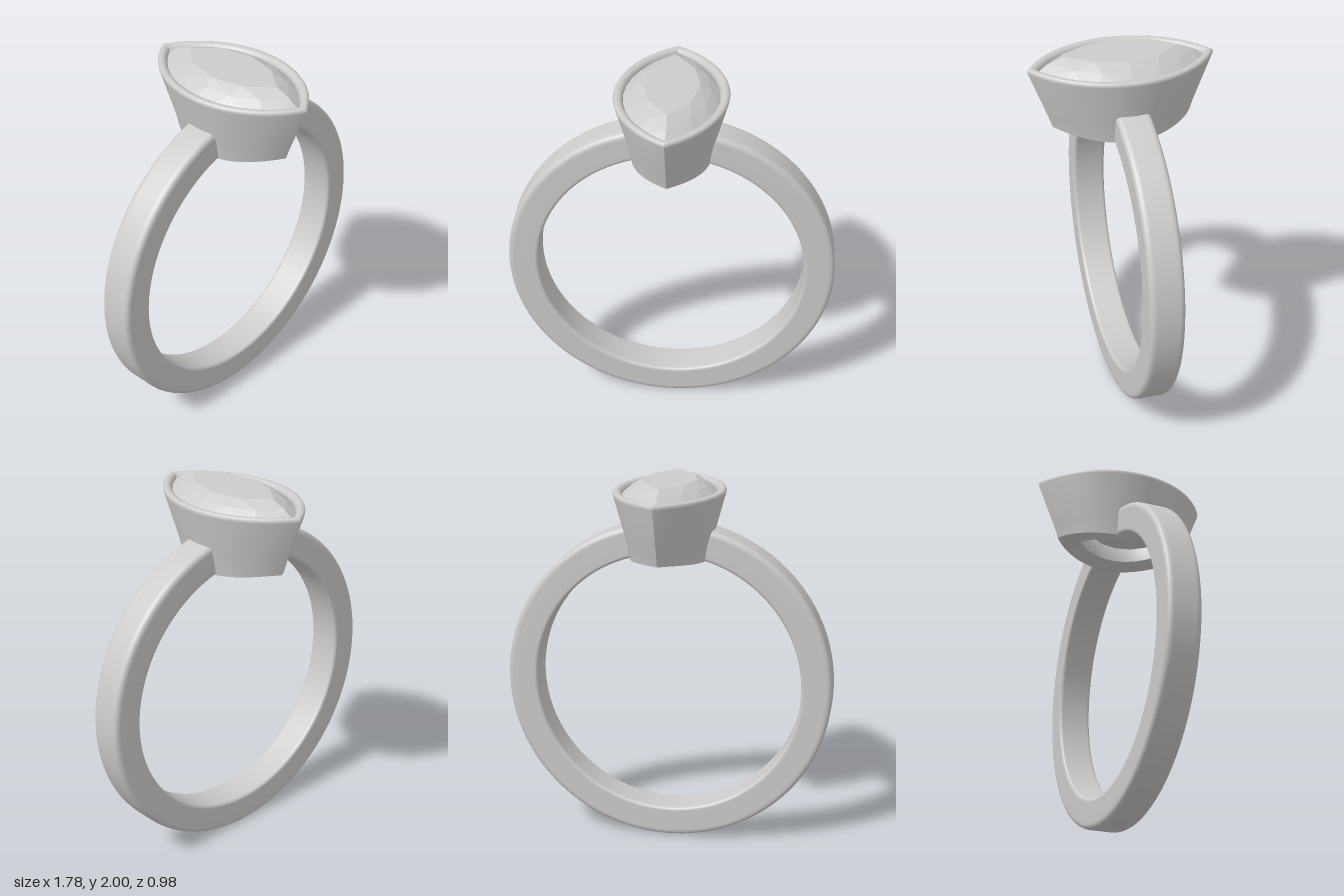
import * as THREE from 'three';
import { toCreasedNormals } from 'three/addons/utils/BufferGeometryUtils.js';
import { ConvexGeometry } from 'three/addons/geometries/ConvexGeometry.js';

const CENTRE = 0.89, OUTER = 0.89, INNER = 0.725, HALF = 0.092;

// Pointed-oval outline made of two arcs; half width a (x), half length b (z)
function marquise(a, b, n) {
  const R = (a * a + b * b) / (2 * a), pts = [];
  for (let i = 0; i < n; i++) {
    const t = (i / n) * 2;
    const side = t < 1 ? 1 : -1;
    const ang = Math.asin(b / R) * (1 - 2 * (t % 1)) * side;
    pts.push([side * (R * Math.cos(ang) - (R - a)), R * Math.sin(ang)]);
  }
  return pts;
}

// Height of the finger hole's upper surface at x
const holeY = x => CENTRE + Math.sqrt(INNER * INNER - x * x);

// Skin a closed loop of outlines; a null height follows the finger hole
function loft(rings, n) {
  const pos = [], idx = [];
  for (const [a, b, y] of rings)
    for (const [x, z] of marquise(a, b, n)) pos.push(x, y === null ? holeY(x) : y, z);
  for (let k = 0; k < rings.length; k++) {
    const l = (k + 1) % rings.length;
    for (let i = 0; i < n; i++) {
      const j = (i + 1) % n;
      idx.push(k * n + i, k * n + j, l * n + j, k * n + i, l * n + j, l * n + i);
    }
  }
  const g = new THREE.BufferGeometry();
  g.setAttribute('position', new THREE.Float32BufferAttribute(pos, 3));
  g.setIndex(idx);
  return toCreasedNormals(g, 0.75);
}

// Rounded-rectangle band section swept round, open under the setting
function bandGeometry() {
  const s = new THREE.Shape(), o = 0.035, i = 0.02;
  s.moveTo(INNER + i, -HALF);
  s.lineTo(OUTER - o, -HALF);
  s.quadraticCurveTo(OUTER, -HALF, OUTER, -HALF + o);
  s.lineTo(OUTER, HALF - o);
  s.quadraticCurveTo(OUTER, HALF, OUTER - o, HALF);
  s.lineTo(INNER + i, HALF);
  s.quadraticCurveTo(INNER, HALF, INNER, HALF - i);
  s.lineTo(INNER, -HALF + i);
  s.quadraticCurveTo(INNER, -HALF, INNER + i, -HALF);
  const gap = 0.24;
  const g = new THREE.LatheGeometry(s.getPoints(6), 128, gap, Math.PI * 2 - 2 * gap);
  return g.rotateX(-Math.PI / 2).translate(0, CENTRE, 0);
}

// Faceted stone: pavilion, girdle, crown and table
function gemGeometry() {
  const pts = [];
  const ring = (a, b, y, n) => marquise(a, b, n).forEach(([x, z]) => pts.push(new THREE.Vector3(x, y, z)));
  ring(0.07, 0.16, 1.66, 8);
  ring(0.17, 0.32, 1.79, 8);
  ring(0.245, 0.437, 1.91, 24);
  ring(0.245, 0.437, 1.93, 24);
  ring(0.2, 0.38, 1.968, 12);
  ring(0.145, 0.3, 2, 8);
  return new ConvexGeometry(pts);
}

export function createModel() {
  const group = new THREE.Group();
  const metal = new THREE.MeshStandardMaterial({ color: 0xcccccc, side: THREE.DoubleSide });
  const stone = new THREE.MeshStandardMaterial({ color: 0xcccccc, flatShading: true });
  const add = (name, geometry, material) => {
    const m = new THREE.Mesh(geometry, material);
    m.name = name;
    group.add(m);
  };

  add('band', bandGeometry(), metal);

  // Bezel: flared wall, rolled rim, stone seat and lower opening
  add('bezel', loft([
    [0.21, 0.368, null],
    [0.225, 0.39, 1.68],
    [0.293, 0.488, 1.93],
    [0.295, 0.49, 1.942],
    [0.29, 0.484, 1.951],
    [0.28, 0.474, 1.955],
    [0.263, 0.457, 1.953],
    [0.251, 0.444, 1.945],
    [0.245, 0.437, 1.93],
    [0.245, 0.437, 1.9],
    [0.19, 0.36, 1.84],
    [0.12, 0.23, 1.68],
    [0.12, 0.23, null],
  ], 96), metal);

  add('gemstone', gemGeometry(), stone);
  return group;
}
